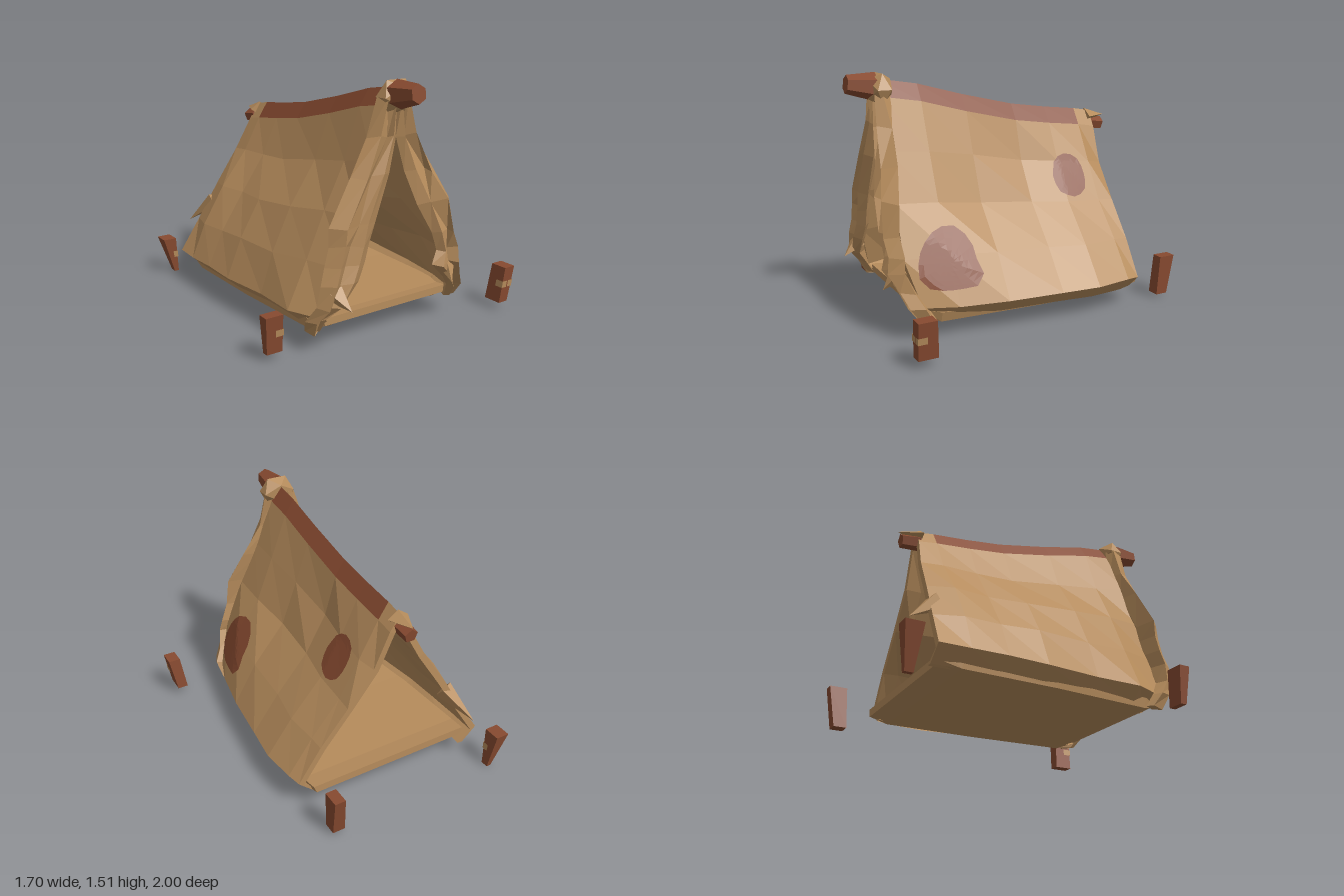
import * as THREE from 'three';

export function createModel() {
  const model = new THREE.Group();
  const mat = (name, color) => {
    const m = new THREE.MeshStandardMaterial({ color, flatShading: true, side: THREE.DoubleSide });
    m.name = name;
    return m;
  };
  const canvas = mat('tan canvas', 0xb68c5c);
  const leather = mat('red brown leather', 0x874a30);

  let seed = 7;
  const jitter = (a) => {
    seed = (seed * 16807) % 2147483647;
    return (seed / 2147483647 - 0.5) * 2 * a;
  };
  const add = (name, geo, material, parent = model) => {
    const mesh = new THREE.Mesh(geo, material);
    mesh.name = name;
    parent.add(mesh);
    return mesh;
  };
  const fromPoints = (pts) => {
    const g = new THREE.BufferGeometry().setFromPoints(pts);
    g.computeVertexNormals();
    return g;
  };
  const V = (x, y, z) => new THREE.Vector3(x, y, z);
  const quad = (out, a, b, c, d) => out.push(a, b, c, a, c, d);

  // Closed solid through a series of rings
  const loft = (rings) => {
    const out = [], n = rings[0].length;
    for (let k = 0; k < rings.length - 1; k++)
      for (let i = 0; i < n; i++) {
        const j = (i + 1) % n;
        quad(out, rings[k][i], rings[k][j], rings[k + 1][j], rings[k + 1][i]);
      }
    const last = rings[rings.length - 1];
    for (let i = 1; i < n - 1; i++) {
      out.push(rings[0][0], rings[0][i + 1], rings[0][i]);
      out.push(last[0], last[i], last[i + 1]);
    }
    return fromPoints(out);
  };

  // Tent cloth: stations run front to back [z, ridge height, left base, right base, sag]
  const stations = [
    [0.8, 1.48, -0.52, 0.48, 0], [0.55, 1.44, -0.6, 0.55, 0.5], [0.25, 1.36, -0.61, 0.6, 1],
    [-0.1, 1.28, -0.64, 0.63, 1.2], [-0.35, 1.245, -0.64, 0.66, 1.1], [-0.58, 1.22, -0.64, 0.64, 0.8],
    [-0.7, 1.2, -0.63, 0.61, 0.5],
  ];
  const rx = -0.04;
  // Rows down each slope: [fraction down, sag on right, sag on left]
  const rows = [[0.32, 0.06, 0.0], [0.55, 0.07, -0.02], [0.78, 0.02, -0.03], [1, 0, 0]];
  const slope = (st, side) => {
    const [z, h, lb, rb, depth] = st;
    const base = side > 0 ? rb : lb;
    const shift = (f) => {
      if (z > 0.7) return f < 1 ? 0.03 * f : -0.05;
      if (z < -0.65) return side > 0 ? 0.03 * f : -0.07 * f;
      return 0;
    };
    const pts = [V(rx + side * 0.065, h - 0.1, z)];
    rows.forEach(([f, sagR, sagL]) => {
      const sag = (side > 0 ? sagR : sagL) * depth;
      const a = f < 1 ? 0.022 : 0.008;
      pts.push(V(rx + (base - rx) * f - side * sag + jitter(a), h + (0.21 - h) * f + jitter(a * 0.6), z + shift(f)));
    });
    pts.push(V(base - side * 0.09, 0.12, z + shift(1) - (z > 0.7 ? 0.06 : 0)));
    return pts;
  };
  const outer = stations.map((st) => [
    ...slope(st, -1).reverse(), V(rx, st[1], st[0]), ...slope(st, 1),
  ]);
  const inner = outer.map((ring) => ring.map((p, i) => {
    const s = Math.sign(i - 6);
    return V(p.x - s * 0.035, p.y - (s === 0 ? 0.07 : i === 0 || i === 12 ? 0 : 0.02), p.z);
  }));
  const cloth = [], stripe = [];
  for (let k = 0; k < outer.length - 1; k++)
    for (let i = 0; i < 12; i++) {
      const red = (i === 5 || i === 6) && k < 5;
      quad(red ? stripe : cloth, outer[k][i], outer[k][i + 1], outer[k + 1][i + 1], outer[k + 1][i]);
      quad(cloth, inner[k][i + 1], inner[k][i], inner[k + 1][i], inner[k + 1][i + 1]);
    }
  const e = outer.length - 1;
  for (let i = 0; i < 12; i++) {
    quad(cloth, outer[0][i], inner[0][i], inner[0][i + 1], outer[0][i + 1]);
    quad(cloth, outer[e][i], outer[e][i + 1], inner[e][i + 1], inner[e][i]);
  }
  const walls = add('tentWalls', fromPoints(cloth), canvas);
  add('ridgeStripe', fromPoints(stripe), leather);

  // Floor with its front and back lips turned up
  add('floor', loft([[0.73, 0.19, 0.145, 0.45], [0.64, 0.175, 0.112, 0.5], [0, 0.165, 0.112, 0.54],
    [-0.6, 0.175, 0.112, 0.55], [-0.72, 0.19, 0.14, 0.54]].map(([z, top, bottom, w]) => [
    V(-w - 0.02, bottom, z), V(-w - 0.03, top, z), V(w, top, z), V(w - 0.02, bottom, z),
  ])), canvas);

  // Gathered door flaps at the front: [y, left x, right x, front z]
  const flap = (list) => loft(list.map(([y, a, b, z]) => {
    const m = (a + b) / 2, w = (b - a) / 2, out = m > 0 ? 1 : -1;
    return [
      V(b, y, z - 0.06 - out * 0.02), V(m + w * 0.45, y + jitter(0.02), z), V(m + jitter(w * 0.3), y, z - 0.04),
      V(m - w * 0.5, y + jitter(0.02), z - 0.005), V(a, y, z - 0.06 + out * 0.02), V(m, y, z - 0.11),
    ];
  }));
  add('leftDoorFlap', flap([
    [1.42, -0.05, 0.04, 0.84], [1.2, -0.05, 0.11, 0.85], [1.0, 0.0, 0.24, 0.87], [0.8, 0.07, 0.35, 0.91],
    [0.62, 0.18, 0.37, 0.92], [0.5, 0.23, 0.42, 0.91], [0.42, 0.19, 0.44, 0.92], [0.3, 0.33, 0.47, 0.87],
    [0.22, 0.4, 0.52, 0.83], [0.12, 0.44, 0.5, 0.77],
  ]), canvas);
  add('rightDoorFlap', flap([
    [1.42, -0.15, -0.04, 0.84], [1.2, -0.22, -0.04, 0.84], [1.0, -0.34, -0.1, 0.86], [0.74, -0.49, -0.2, 0.87],
    [0.63, -0.49, -0.24, 0.87], [0.52, -0.52, -0.27, 0.87], [0.42, -0.55, -0.32, 0.88], [0.3, -0.57, -0.42, 0.87],
    [0.2, -0.6, -0.48, 0.8], [0.12, -0.57, -0.5, 0.75],
  ]), canvas);

  // Cylinder or cone running between two points
  const bar = (name, from, to, r0, r1, sides, material) => {
    const d = to.clone().sub(from);
    const m = add(name, new THREE.CylinderGeometry(r1, r0, d.length(), sides), material);
    m.position.copy(from).addScaledVector(d, 0.5);
    m.quaternion.setFromUnitVectors(V(0, 1, 0), d.normalize());
    return m;
  };

  // Ridge pole ends and the cloth wrapped around them
  bar('frontPoleEnd', V(-0.05, 1.435, 0.82), V(-0.05, 1.455, 0.99), 0.085, 0.055, 6, leather);
  bar('backPoleEnd', V(-0.05, 1.12, -0.68), V(-0.05, 1.105, -0.8), 0.05, 0.045, 5, leather);
  const collar = add('frontCollar', new THREE.IcosahedronGeometry(0.11, 0), canvas);
  collar.scale.set(1.15, 1, 0.75);
  collar.position.set(-0.04, 1.42, 0.79);
  const peak = bar('backPeak', V(-0.045, 1.165, -0.67), V(-0.045, 1.165, -0.82), 0.07, 0, 4, canvas);
  peak.scale.z = 0.7;

  // Loose cloth points at the corners
  const point = (name, base, tip, r) => bar(name, base, tip, r, 0, 4, canvas);
  point('backClothPoint', V(-0.4, 0.55, -0.7), V(-0.51, 0.38, -0.89), 0.06);
  point('frontClothPointRight', V(-0.47, 0.37, 0.82), V(-0.43, 0.29, 0.93), 0.06);
  point('frontClothPointLeft', V(0.34, 0.42, 0.82), V(0.31, 0.3, 0.93), 0.07);

  // Sewn patches laid onto the left slope
  walls.updateMatrixWorld();
  const ray = new THREE.Raycaster();
  const patch = (name, cz, cy, shape) => {
    const at = (ring, i) => {
      const n = shape.length, t = (i / n) * Math.PI * 2, r = (shape[i % n] * ring) / 6;
      const z = cz - Math.cos(t) * r, y = cy + Math.sin(t) * r;
      ray.set(V(2, y, z), V(-1, 0, 0));
      const hit = ray.intersectObject(walls)[0];
      return V((hit ? hit.point.x : 0.4) + 0.009, y + 0.004, z);
    };
    const out = [];
    for (let ring = 0; ring < 6; ring++)
      for (let i = 0; i < shape.length; i++)
        quad(out, at(ring, i), at(ring + 1, i), at(ring + 1, i + 1), at(ring, i + 1));
    add(name, fromPoints(out), leather);
  };
  patch('largePatch', 0.57, 0.45,
    [0.17, 0.18, 0.19, 0.2, 0.19, 0.18, 0.17, 0.17, 0.18, 0.2, 0.19, 0.16, 0.15, 0.16, 0.2, 0.21]);
  patch('smallPatch', -0.4, 0.82,
    [0.115, 0.12, 0.13, 0.13, 0.13, 0.125, 0.12, 0.11, 0.115, 0.12, 0.13, 0.125, 0.13, 0.13, 0.13, 0.12]);

  // Crooked ground pegs: top and bottom as [x0, x1, z0, z1, y], then the corners wrapped with cord
  const pegs = [
    [[-0.85, -0.74, 0.65, 0.72, 0.28], [-0.83, -0.73, 0.65, 0.69, 0.05], [2]],
    [[-0.72, -0.63, -0.99, -0.88, 0.26], [-0.64, -0.61, -0.95, -0.9, 0.01], [2]],
    [[0.77, 0.85, 0.82, 0.93, 0.29], [0.74, 0.81, 0.8, 0.92, 0.06], [2, 3]],
    [[0.49, 0.56, -1.0, -0.89, 0.29], [0.47, 0.55, -0.96, -0.88, 0.03], []],
  ];
  const corners = ([x0, x1, z0, z1, y]) => [V(x0, y, z0), V(x1, y, z0), V(x1, y, z1), V(x0, y, z1)];
  pegs.forEach(([top, bottom, wrapped], n) => {
    const peg = new THREE.Group();
    peg.name = 'peg' + (n + 1);
    model.add(peg);
    const t = corners(top), b = corners(bottom);
    add('pegBody', loft([b, t]), leather, peg);
    const level = (f) => {
      const ring = b.map((p, i) => p.clone().lerp(t[i], f));
      const mid = ring[0].clone().lerp(ring[2], 0.5);
      return ring.map((p) => V(p.x + Math.sign(p.x - mid.x) * 0.004, p.y, p.z + Math.sign(p.z - mid.z) * 0.004));
    };
    const low = level(0.44), high = level(0.62);
    wrapped.forEach((c) => {
      const out = [];
      [(c + 3) % 4, (c + 1) % 4].forEach((j) => {
        const half = (ring) => ring[c].clone().lerp(ring[j], 0.45);
        if (j === (c + 1) % 4) quad(out, low[c], high[c], half(high), half(low));
        else quad(out, half(low), half(high), high[c], low[c]);
      });
      add('pegCord', fromPoints(out), canvas, peg);
    });
  });

  return model;
}
